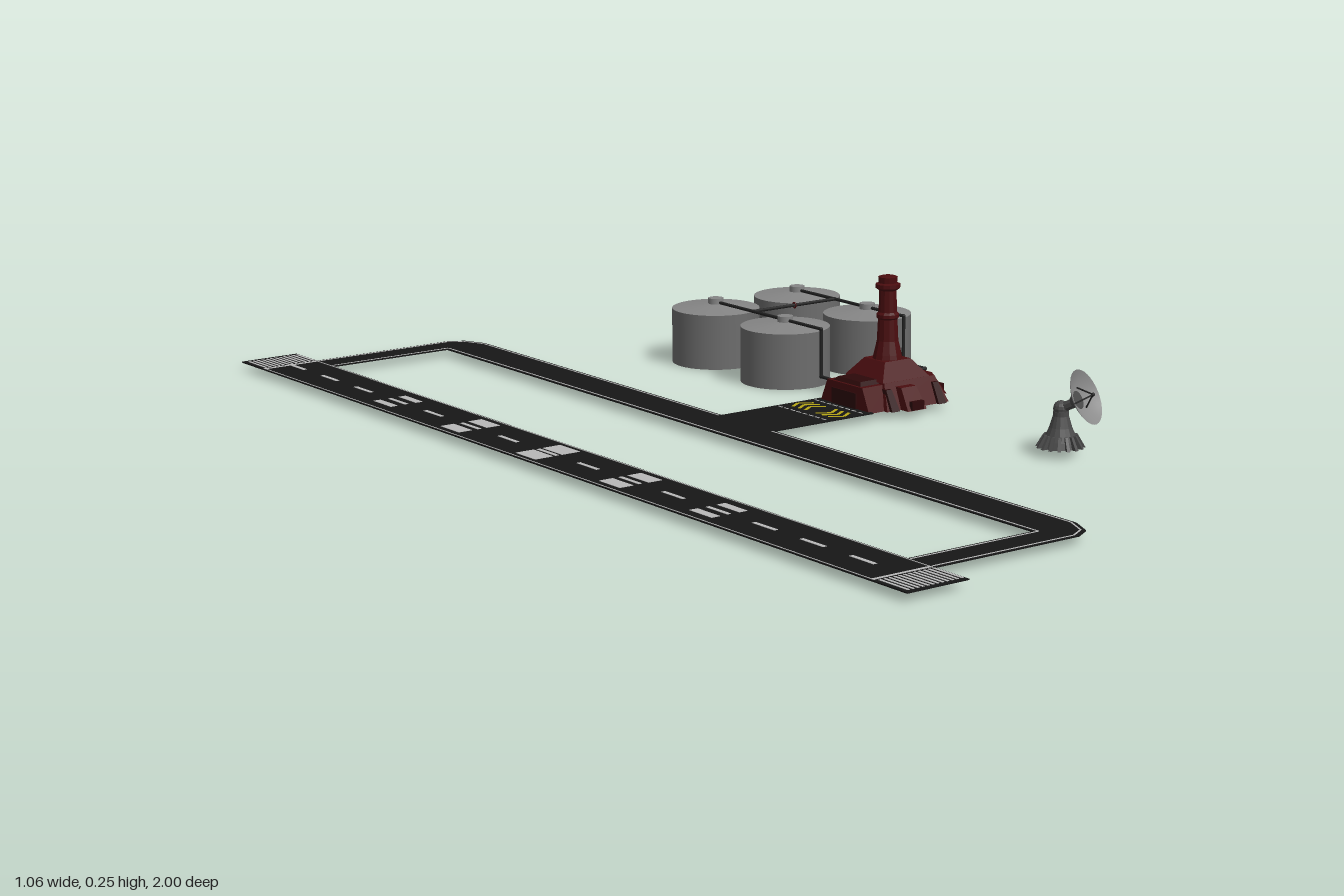
import * as THREE from 'three';

const mat = (color, side = THREE.FrontSide, flatShading = false) => {
  const m = new THREE.MeshStandardMaterial({ color });
  m.side = side;
  m.flatShading = flatShading;
  return m;
};
const asphalt = mat(0x161616), paint = mat(0xb8b8b8), yellow = mat(0xb5a514);
const red = mat(0x4a0d0f, THREE.FrontSide, true), darkRed = mat(0x2c0809, THREE.FrontSide, true);
const steel = mat(0x6c6c6c), roofGrey = mat(0x858585), dark = mat(0x4a4a4a, THREE.FrontSide, true);
const pipeMat = mat(0x222222), dishMat = mat(0x8a8a8a, THREE.DoubleSide);
const GROUND = 0.015;

function add(parent, name, geometry, material, x = 0, y = 0, z = 0) {
  const m = new THREE.Mesh(geometry, material);
  m.name = name;
  m.position.set(x, y, z);
  parent.add(m);
  return m;
}
function group(parent, name, x = 0, y = 0, z = 0) {
  const g = new THREE.Group();
  g.name = name;
  g.position.set(x, y, z);
  parent.add(g);
  return g;
}
// Flat rectangle of paint, visible from above and below the pavement
const mark = (p, name, x0, x1, z0, z1, m = paint) =>
  add(p, name, new THREE.BoxGeometry(x1 - x0, 0.0034, z1 - z0), m, (x0 + x1) / 2, GROUND, (z0 + z1) / 2);
// Painted line between two ground points
function line(p, name, [x0, z0], [x1, z1], w = 0.005, m = paint) {
  const l = add(p, name, new THREE.BoxGeometry(Math.hypot(x1 - x0, z1 - z0), 0.0032, w), m,
    (x0 + x1) / 2, GROUND, (z0 + z1) / 2);
  l.rotation.y = -Math.atan2(z1 - z0, x1 - x0);
}
// Box whose top face is scaled, sitting between y0 and y1
function taper(p, name, m, x0, x1, z0, z1, y0, y1, sx = 1, sz = 1, shiftX = 0, shiftZ = 0) {
  const g = new THREE.BoxGeometry(x1 - x0, y1 - y0, z1 - z0);
  const a = g.attributes.position;
  for (let i = 0; i < a.count; i++)
    if (a.getY(i) > 0) a.setXYZ(i, a.getX(i) * sx + shiftX, a.getY(i), a.getZ(i) * sz + shiftZ);
  g.computeVertexNormals();
  return add(p, name, g, m, (x0 + x1) / 2, (y0 + y1) / 2, (z0 + z1) / 2);
}
// Straight rod from a to b
function rod(p, name, a, b, r, m, r2 = r, sides = 8) {
  const A = new THREE.Vector3(...a), d = new THREE.Vector3(...b).sub(A);
  const c = add(p, name, new THREE.CylinderGeometry(r2, r, d.length(), sides), m);
  c.position.copy(A).addScaledVector(d, 0.5);
  c.quaternion.setFromUnitVectors(new THREE.Vector3(0, 1, 0), d.normalize());
}
function pipe(p, name, pts, r = 0.0032) {
  for (let i = 0; i + 1 < pts.length; i++) {
    rod(p, name, pts[i], pts[i + 1], r, pipeMat);
    add(p, name + 'Elbow', new THREE.SphereGeometry(r * 1.15, 8, 6), pipeMat, ...pts[i + 1]);
  }
}

function buildRunway(root) {
  const g = group(root, 'runway');
  add(g, 'runwaySurface', new THREE.BoxGeometry(0.12, 0.002, 2), asphalt, -0.47, GROUND, 0);
  for (const s of [-1, 1]) {
    mark(g, 'runwayEdgeLine', -0.471 + s * 0.0565, -0.469 + s * 0.0565, -0.92, 0.92);
    mark(g, 'thresholdLine', -0.526, -0.414, s * 0.915 - 0.003, s * 0.915 + 0.003);
    for (let i = 0; i < 12; i++) {
      const x = -0.522 + i * 0.0095;
      mark(g, 'thresholdStripe', x, x + 0.005, s * 0.957 - 0.034, s * 0.957 + 0.034);
    }
  }
  // Centre dashes
  for (let k = -7; k <= 7; k++) {
    const z = -0.034 + k * 0.1225;
    mark(g, 'centreDash', -0.474, -0.466, z - 0.029, z + 0.029);
  }
  // Touchdown blocks: centre z, inner and outer offset
  for (const [z, a, b] of [[-0.524, 0.019, 0.034], [-0.28, 0.015, 0.043], [-0.034, 0.009, 0.046],
    [0.212, 0.015, 0.043], [0.456, 0.019, 0.036]])
    for (const s of [-1, 1])
      mark(g, 'touchdownBlock', -0.47 + Math.min(s * a, s * b), -0.47 + Math.max(s * a, s * b), z - 0.03, z + 0.03);
}

function buildTaxiway(root) {
  const g = group(root, 'taxiway');
  const outer = [[-0.41, -0.92], [-0.115, -0.92], [-0.085, -0.903], [-0.066, -0.86],
    [-0.066, 0.86], [-0.085, 0.903], [-0.115, 0.92], [-0.41, 0.92]];
  const inner = [[-0.41, 0.857], [-0.155, 0.857], [-0.155, -0.857], [-0.41, -0.857]];
  const shape = new THREE.Shape([...outer, ...inner].map(([x, z]) => new THREE.Vector2(x, -z)));
  const geo = new THREE.ExtrudeGeometry(shape, { depth: 0.002, bevelEnabled: false });
  geo.rotateX(-Math.PI / 2);
  add(g, 'taxiwaySurface', geo, asphalt, 0, GROUND - 0.001, 0);
  // Edge lines set slightly in from the rim, open where the apron joins
  const inset = ([x, z]) => [x === -0.41 ? x : x - 0.006, z - Math.sign(z) * 0.006];
  outer.slice(0, -1).forEach((p, i) => {
    const a = inset(p), b = inset(outer[i + 1]);
    if (i === 3) {
      line(g, 'outerLine', a, [a[0], -0.078], 0.003);
      line(g, 'outerLine', [a[0], 0.078], b, 0.003);
    } else line(g, 'outerLine', a, b, 0.003);
  });
  const out = ([x, z]) => [x === -0.41 ? x : x + 0.006, z + Math.sign(z) * 0.006];
  for (let i = 0; i < 3; i++) line(g, 'innerLine', out(inner[i]), out(inner[i + 1]), 0.003);

  // Apron leading to the terminal
  const a = group(root, 'apron');
  add(a, 'apronSurface', new THREE.BoxGeometry(0.226, 0.002, 0.155), asphalt, 0.047, GROUND, 0);
  for (const x of [0.057, 0.141])
    for (let i = 0; i < 8; i++) mark(a, 'stopDash', x - 0.0015, x + 0.0015, -0.07 + i * 0.018, -0.058 + i * 0.018);
  for (const s of [-1, 1])
    for (let i = 0; i < 3; i++) {
      const z = 0.015 + i * 0.018;
      line(a, 'chevron', [0.076, s * z], [0.1, s * (z + 0.016)], 0.006, yellow);
      line(a, 'chevron', [0.1, s * (z + 0.016)], [0.124, s * z], 0.006, yellow);
    }
}

function buildTerminal(root) {
  const g = group(root, 'terminal');
  add(g, 'floorPlate', new THREE.BoxGeometry(0.15, 0.004, 0.12), steel, 0.235, 0.012, 0);
  taper(g, 'lowerHall', red, 0.19, 0.335, -0.08, 0.08, 0.013, 0.06, 0.82, 0.68);
  taper(g, 'upperHall', red, 0.2, 0.31, -0.054, 0.054, 0.06, 0.092, 0.55, 0.55);
  // Gate block facing the apron
  taper(g, 'gateHouse', red, 0.155, 0.215, -0.07, 0.07, 0.013, 0.057, 1, 0.72);
  add(g, 'gateDoor', new THREE.BoxGeometry(0.004, 0.03, 0.07), darkRed, 0.154, 0.03, 0);
  taper(g, 'gateRoof', darkRed, 0.16, 0.215, -0.04, 0.04, 0.057, 0.064, 0.8, 0.8);
  // Rear dock
  taper(g, 'rearDock', red, 0.3, 0.375, -0.027, 0.027, 0.013, 0.056, 0.6, 0.75, -0.015);
  add(g, 'dockDoor', new THREE.BoxGeometry(0.012, 0.016, 0.032), darkRed, 0.372, 0.022, 0);
  for (const s of [-1, 1]) {
    taper(g, 'sidePorch', red, 0.222, 0.266, s * 0.075 - 0.025, s * 0.075 + 0.025, 0.013, 0.052, 0.8, 0.7, 0, -s * 0.018);
    add(g, 'porchDoor', new THREE.BoxGeometry(0.028, 0.016, 0.008), darkRed, 0.244, 0.022, s * 0.098);
    for (const x of [0.205, 0.315])
      taper(g, 'buttress', darkRed, x - 0.009, x + 0.009, s * 0.073 - 0.014, s * 0.073 + 0.014, 0.013, 0.05, 0.7, 0.6, 0, -s * 0.016);
    add(g, 'roofVent', new THREE.BoxGeometry(0.026, 0.012, 0.014), darkRed, 0.295, 0.064, s * 0.032);
  }
  // Control tower
  const tower = [[0.03, 0.08], [0.026, 0.1], [0.02, 0.125], [0.018, 0.165], [0.021, 0.168], [0.021, 0.174],
    [0.017, 0.178], [0.016, 0.218], [0.023, 0.223], [0.023, 0.23], [0.017, 0.232], [0.018, 0.243], [0.012, 0.245], [0, 0.245]];
  add(g, 'tower', new THREE.LatheGeometry(tower.map(p => new THREE.Vector2(...p)), 12), red, 0.255, 0, 0);
}

function buildTanks(root) {
  const g = group(root, 'tankFarm');
  for (const x of [0.243, 0.443]) {
    for (const z of [-0.51, -0.29]) {
      const t = group(g, 'tank', x, 0, z);
      add(t, 'tankWall', new THREE.CylinderGeometry(0.085, 0.085, 0.106, 40), steel, 0, 0.053, 0);
      add(t, 'tankRoof', new THREE.CylinderGeometry(0.015, 0.085, 0.008, 40), roofGrey, 0, 0.11, 0);
      add(t, 'tankCap', new THREE.CylinderGeometry(0.015, 0.015, 0.014, 16), roofGrey, 0, 0.118, 0);
    }
    pipe(g, 'feedPipe', [[x, 0.117, -0.51], [x, 0.117, -0.18], [x, 0.026, -0.18], [x, 0.026, -0.115], [0.343, 0.026, -0.115]]);
  }
  pipe(g, 'crossPipe', [[0.243, 0.117, -0.39], [0.443, 0.117, -0.39]]);
  pipe(g, 'supplyPipe', [[0.343, 0.026, -0.115], [0.343, 0.026, -0.045], [0.31, 0.026, -0.045]]);
  const valve = add(g, 'valveWheel', new THREE.TorusGeometry(0.005, 0.0015, 6, 12), red, 0.343, 0.117, -0.39);
  valve.rotation.y = Math.PI / 2;
}

function buildDish(root) {
  const g = group(root, 'radarDish', 0.257, GROUND, 0.468);
  const base = [[0, 0], [0.034, 0], [0.03, 0.012], [0.02, 0.035], [0.014, 0.055], [0.014, 0.063], [0, 0.063]];
  add(g, 'pedestal', new THREE.LatheGeometry(base.map(p => new THREE.Vector2(...p)), 16), dark);
  for (let i = 0; i < 16; i++) {
    const f = group(g, 'fin');
    f.rotation.y = i * Math.PI / 8;
    taper(f, 'finBlade', dark, 0.02, 0.043, -0.003, 0.003, 0, 0.022, 0.4, 0.8, -0.006);
  }
  add(g, 'pivot', new THREE.SphereGeometry(0.014, 12, 8), dark, 0, 0.068, 0);
  // Reflector, opening along its own +y
  const n = new THREE.Vector3(0.36, 0.42, 0.83).normalize();
  const head = group(g, 'dishHead', 0.01, 0.086, 0.03);
  head.quaternion.setFromUnitVectors(new THREE.Vector3(0, 1, 0), n);
  const bowl = [];
  for (let i = 0; i <= 8; i++) bowl.push(new THREE.Vector2(0.05 * i / 8, 0.018 * (i / 8) ** 2));
  add(head, 'reflector', new THREE.LatheGeometry(bowl, 32), dishMat);
  add(head, 'reflectorHub', new THREE.CylinderGeometry(0.018, 0.009, 0.012, 12), dark, 0, -0.004, 0);
  rod(g, 'neck', [0, 0.068, 0], [0.01, 0.082, 0.026], 0.009, dark);
  for (let i = 0; i < 3; i++) {
    const a = i * Math.PI * 2 / 3 + 0.5;
    rod(head, 'feedStrut', [0.022 * Math.cos(a), 0.004, 0.022 * Math.sin(a)], [0, 0.032, 0], 0.0014, pipeMat, 0.0014, 6);
  }
  add(head, 'feedHorn', new THREE.SphereGeometry(0.0035, 8, 6), pipeMat, 0, 0.032, 0);
}

export function createModel() {
  const root = new THREE.Group();
  root.name = 'airfield';
  buildRunway(root);
  buildTaxiway(root);
  buildTerminal(root);
  buildTanks(root);
  buildDish(root);
  return root;
}
